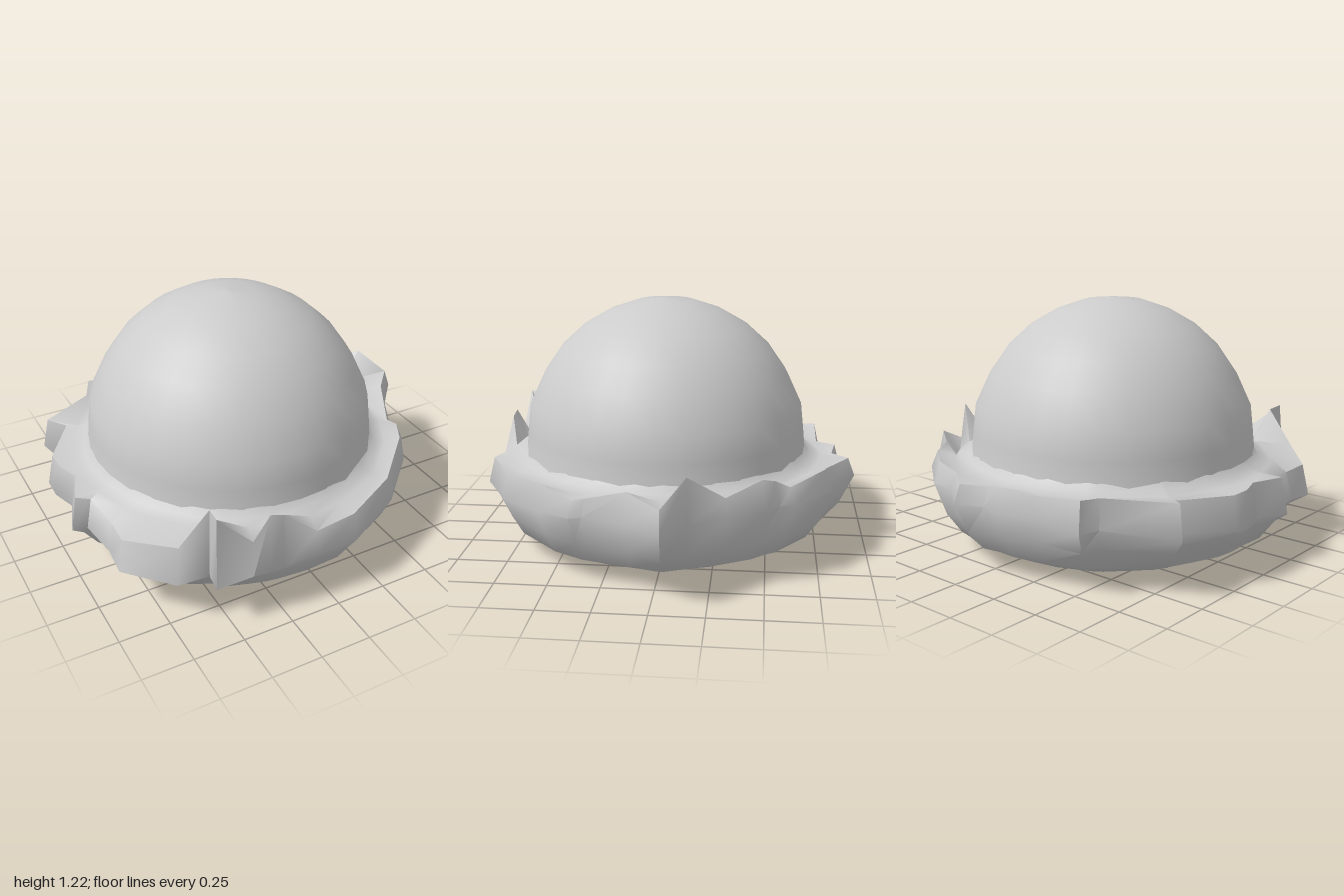
import * as THREE from 'three';
import { toCreasedNormals } from 'three/addons/utils/BufferGeometryUtils.js';

const CX = -0.07, CZ = 0.03; // axis of the dome

// Torn rim, walked front -> right -> back -> left: x, z of the edge and height of its crest
const RIM = [
  [0.13, 0.93, 0.41], [-0.07, 0.925, 0.38], [-0.25, 0.92, 0.53], [-0.32, 0.915, 0.55], [-0.40, 0.90, 0.42],
  [-0.58, 0.89, 0.60], [-0.57, 0.80, 0.59], [-0.72, 0.78, 0.42], [-0.91, 0.57, 0.39], [-0.90, 0.42, 0.38],
  [-0.93, 0.22, 0.40], [-1.0, 0.20, 0.42], [-0.94, 0.03, 0.42], [-0.98, -0.09, 0.42], [-0.98, -0.20, 0.42],
  [-0.82, -0.44, 0.42], [-0.90, -0.51, 0.44], [-0.58, -0.68, 0.44], [-0.56, -0.79, 0.45], [-0.30, -0.79, 0.42],
  [-0.14, -0.88, 0.45], [-0.05, -0.86, 0.43], [0.06, -0.94, 0.44], [0.24, -0.80, 0.43], [0.35, -0.81, 0.47],
  [0.58, -0.63, 0.45], [0.59, -0.56, 0.48], [0.68, -0.50, 0.515], [0.73, -0.33, 0.44], [0.88, -0.16, 0.58],
  [1.0, -0.05, 0.47], [0.85, 0.12, 0.495], [0.75, 0.33, 0.42], [0.77, 0.39, 0.42], [0.67, 0.55, 0.455],
  [0.43, 0.78, 0.42],
];

// Each column of the brim: underside, foot, flank, widest edge, crest, then back in to the dome
function brimColumn([x, z, crest]) {
  const dx = x - CX, dz = z - CZ, r = Math.hypot(dx, dz);
  const at = (radius, y) => [CX + dx / r * radius, y, CZ + dz / r * radius];
  const base = (radius) => {
    const p = at(radius, 0);
    p[1] = Math.max(0, 0.014 + 0.012 * p[0] - 0.018 * p[2]);
    return p;
  };
  const edge = 0.31 + 0.06 * x - 0.04 * z;
  const flank = 0.8 + (r - 0.9) * 0.25;
  return [
    base(0.0001), base(0.42), base(0.61), at(0.64, 0.02), at(flank, 0.1),
    at(flank * 0.45 + r * 0.55, 0.2), at(r, edge),
    at(r * 0.965, crest), at(Math.min(0.8, r * 0.92), 0.42), at(0.745, 0.435), at(0.715, 0.47),
  ];
}

function brimGeometry() {
  const columns = RIM.map(brimColumn);
  const n = columns.length, rings = columns[0].length;
  const position = columns.flat(2), index = [];
  for (let j = 0; j < n; j++) {
    for (let i = 0; i < rings - 1; i++) {
      const a = j * rings + i, b = ((j + 1) % n) * rings + i;
      index.push(a, a + 1, b, b, a + 1, b + 1);
    }
  }
  const geo = new THREE.BufferGeometry();
  geo.setAttribute('position', new THREE.Float32BufferAttribute(position, 3));
  geo.setIndex(index);
  return toCreasedNormals(geo, 1.0);
}

// Rounded crown, slightly flared where it sinks into the brim
function domeGeometry() {
  const profile = [
    [0.735, 0.4], [0.72, 0.46], [0.71, 0.56], [0.695, 0.69], [0.62, 0.85], [0.53, 0.98],
    [0.415, 1.085], [0.285, 1.16], [0.145, 1.208], [0, 1.222],
  ].map(([r, y]) => new THREE.Vector2(r, y));
  return new THREE.LatheGeometry(profile, 32);
}

export function createModel() {
  const group = new THREE.Group();
  const material = new THREE.MeshStandardMaterial({ color: 0xcccccc, side: THREE.DoubleSide });

  const dome = new THREE.Mesh(domeGeometry(), material);
  dome.name = 'dome';
  dome.position.set(CX, 0, CZ);

  const brim = new THREE.Mesh(brimGeometry(), material);
  brim.name = 'raggedBrim';

  group.add(dome, brim);
  return group;
}
